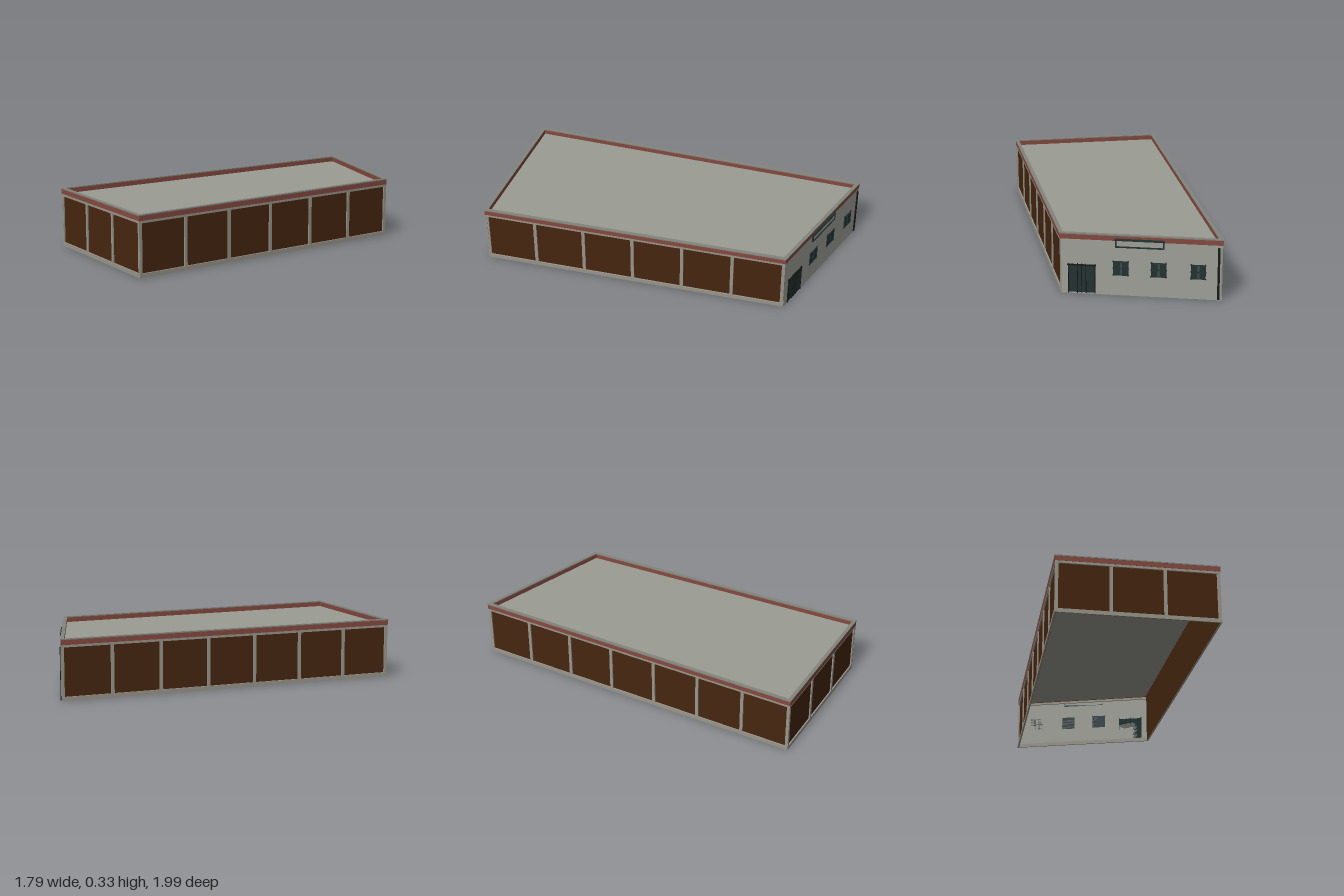
import * as THREE from 'three';

const mat = (name, color, side = THREE.FrontSide) => {
  const m = new THREE.MeshStandardMaterial({ color, side });
  m.name = name;
  return m;
};

// Footprint corners (x, z), counter-clockwise seen from above
const FOOT = [[-0.897, 0.35], [-0.29, 0.992], [0.893, -0.245], [0.508, -0.998]];
const ROOF_Y = 0.3, BASE_H = 0.022, BEAM_Y = 0.287, TOP = 0.333;

// Footprint moved inward by d, corners mitred
function inset(d) {
  const n = FOOT.length;
  const lines = FOOT.map(([x, z], i) => {
    const [qx, qz] = FOOT[(i + 1) % n];
    const l = Math.hypot(qx - x, qz - z), ux = (qx - x) / l, uz = (qz - z) / l;
    return { x: x + uz * d, z: z - ux * d, ux, uz };
  });
  return lines.map((b, i) => {
    const a = lines[(i + n - 1) % n];
    const t = ((b.x - a.x) * b.uz - (b.z - a.z) * b.ux) / (a.ux * b.uz - a.uz * b.ux);
    return new THREE.Vector2(a.x + a.ux * t, -(a.z + a.uz * t));
  });
}

export function createModel() {
  const model = new THREE.Group();
  model.name = 'building';
  const plaster = mat('plaster grey', 0xa0a29a, THREE.DoubleSide);
  const trim = mat('trim grey', 0x99958b);
  const roofGrey = mat('roof grey', 0x9b9d93, THREE.DoubleSide);
  const brown = mat('panel brown', 0x46260f, THREE.DoubleSide);
  const red = mat('fascia red', 0x85493f);
  const cap = mat('coping grey', 0x83857d);
  const dark = mat('dark metal', 0x253232);
  const glass = mat('glass', 0x3c4a4a);
  const pipe = mat('downpipe black', 0x171a19);

  const add = (parent, name, geo, material) => {
    const m = new THREE.Mesh(geo, material);
    m.name = name;
    parent.add(m);
    return m;
  };

  // Horizontal band running round the whole footprint
  const ring = (name, d0, d1, y0, y1, material) => {
    const s = new THREE.Shape(inset(d0));
    s.holes.push(new THREE.Path(inset(d1)));
    const g = new THREE.ExtrudeGeometry(s, { depth: y1 - y0, bevelEnabled: false });
    g.rotateX(-Math.PI / 2).translate(0, y0, 0);
    add(model, name, g, material);
  };
  ring('baseBand', 0.003, 0.011, 0, BASE_H, trim);
  ring('topBeam', 0.003, 0.011, BEAM_Y, ROOF_Y, trim);
  ring('fascia', 0.002, 0.018, ROOF_Y, TOP - 0.006, red);
  ring('coping', 0, 0.02, TOP - 0.006, TOP, cap);

  // Flat roof sunk behind the parapet
  const roof = new THREE.ShapeGeometry(new THREE.Shape(inset(0.012)));
  roof.rotateX(-Math.PI / 2).translate(0, ROOF_Y + 0.001, 0);
  add(model, 'roof', roof, roofGrey);

  // Wall frame: x along the wall, z outward
  const wall = (i, name) => {
    const [px, pz] = FOOT[i], [qx, qz] = FOOT[(i + 1) % 4];
    const g = new THREE.Group();
    g.name = name;
    g.position.set(px, 0, pz);
    g.rotation.y = Math.atan2(pz - qz, qx - px);
    model.add(g);
    return { g, length: Math.hypot(qx - px, qz - pz) };
  };
  const box = (g, name, x0, x1, y0, y1, z0, z1, material) =>
    add(g, name, new THREE.BoxGeometry(x1 - x0, y1 - y0, z1 - z0)
      .translate((x0 + x1) / 2, (y0 + y1) / 2, (z0 + z1) / 2), material);
  const panel = (g, name, length, z, material) =>
    add(g, name, new THREE.PlaneGeometry(length - 0.016, ROOF_Y)
      .translate(length / 2, ROOF_Y / 2, z), material);

  // Panelled walls divided by posts
  for (const [i, bays, name] of [[0, 3, 'endWall'], [1, 6, 'longFrontWall'], [3, 7, 'longBackWall']]) {
    const { g, length } = wall(i, name);
    panel(g, 'panels', length, -0.012, brown);
    for (let k = 0; k <= bays; k++) {
      const x = 0.012 + (length - 0.024) * k / bays;
      box(g, 'post', x - 0.009, x + 0.009, BASE_H, BEAM_Y, -0.011, -0.004, trim);
    }
  }

  // Plastered entrance wall
  const { g: facade, length: L } = wall(2, 'entranceWall');
  panel(facade, 'plaster', L, -0.002, plaster);
  const along = z => (-0.245 - z) / 0.753 * L;

  // Double door with overlapping frame bars
  const d0 = along(-0.283), d1 = along(-0.41), dm = (d0 + d1) / 2;
  const door = new THREE.Group();
  door.name = 'door';
  facade.add(door);
  box(door, 'doorLeaves', d0, d1, 0.008, 0.16, -0.002, 0.001, dark);
  box(door, 'doorHead', d0 - 0.004, d1 + 0.004, 0.157, 0.163, -0.002, 0.005, pipe);
  for (const x of [d0 + 0.002, dm - 0.022, dm, dm + 0.022, d1 - 0.002])
    box(door, 'doorBar', x - 0.002, x + 0.002, 0.004, 0.167, -0.002, 0.004, pipe);

  // Windows: two sashes crossed by bars
  for (const [za, zb] of [[-0.492, -0.563], [-0.667, -0.738], [-0.85, -0.918]]) {
    const a = along(za), b = along(zb), m = (a + b) / 2;
    const w = new THREE.Group();
    w.name = 'window';
    facade.add(w);
    box(w, 'pane', a, b, 0.112, 0.19, -0.002, 0, glass);
    for (const [s, e] of [[a, m - 0.007], [m + 0.007, b]])
      box(w, 'sash', s, e, 0.115, 0.187, -0.002, 0.002, dark);
    for (const y of [0.114, 0.151, 0.188])
      box(w, 'crossBar', a - 0.003, b + 0.003, y - 0.002, y + 0.002, -0.002, 0.004, dark);
    for (const x of [a + 0.002, b - 0.002])
      box(w, 'sideBar', x - 0.002, x + 0.002, 0.108, 0.194, -0.002, 0.004, dark);
  }

  // Plain board with dark frame over the windows
  const s0 = along(-0.5), s1 = along(-0.73);
  const sign = new THREE.Group();
  sign.name = 'signBoard';
  facade.add(sign);
  box(sign, 'board', s0 + 0.006, s1 - 0.006, 0.272, 0.308, -0.002, 0.004, plaster);
  box(sign, 'topRail', s0, s1, 0.304, 0.313, -0.002, 0.009, dark);
  box(sign, 'bottomRail', s0 + 0.004, s1 - 0.004, 0.266, 0.274, -0.002, 0.007, dark);
  for (const x of [s0 + 0.006, s1 - 0.006])
    box(sign, 'sideRail', x - 0.003, x + 0.003, 0.266, 0.312, -0.002, 0.007, dark);

  // Downpipe near the back corner
  const px = along(-0.977);
  box(facade, 'downpipe', px - 0.006, px + 0.006, 0.004, 0.288, -0.002, 0.004, pipe);

  return model;
}
